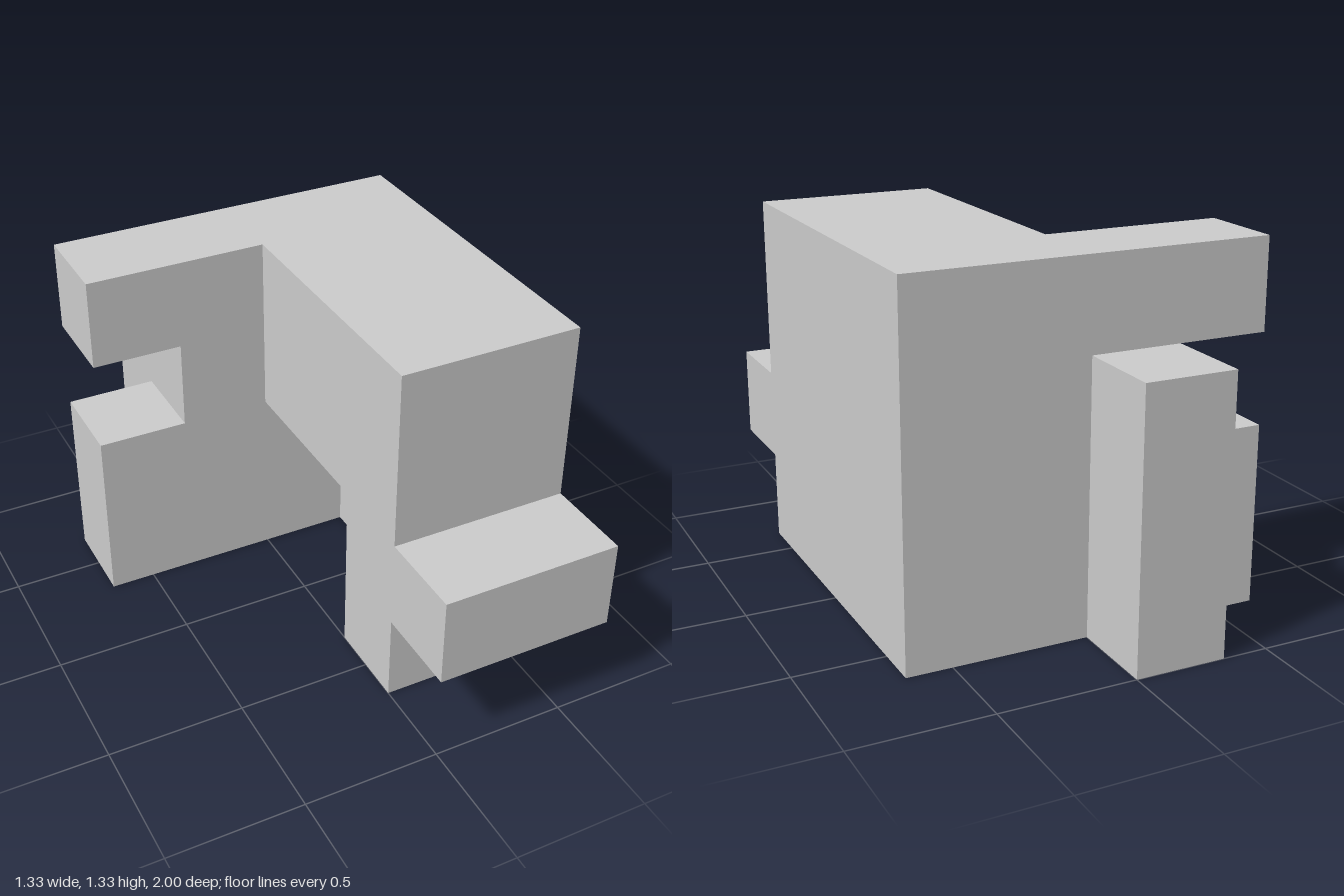
import * as THREE from 'three';
import { mergeGeometries, mergeVertices } from 'three/addons/utils/BufferGeometryUtils.js';

// The block is laid out on a grid of cubes; each part spans [from, to) in cells.
const CELL = 1 / 3;
const PARTS = {
  sideWall: [[3, 0, 1], [4, 4, 5]],
  topBeam: [[2, 2, 1], [3, 4, 5]],
  frontLeg: [[2, 0, 4], [3, 2, 5]],
  backWall: [[1, 0, 1], [3, 2, 2], [1, 2, 1], [2, 4, 2]],
  cornerWall: [[3, 0, 1], [4, 4, 1]],
  topArm: [[0, 3, 1], [1, 4, 2]],
  sidePost: [[0, 0, 1], [1, 2, 2]],
  backPost: [[1, 0, 0], [2, 3, 1]],
  frontLedge: [[2, 1, 5], [4, 2, 6]],
};

// Outward directions with the rotation that turns a +z plane to face them
const SIDES = [
  [[1, 0, 0], [0, Math.PI / 2]], [[-1, 0, 0], [0, -Math.PI / 2]],
  [[0, 1, 0], [-Math.PI / 2, 0]], [[0, -1, 0], [Math.PI / 2, 0]],
  [[0, 0, 1], [0, 0]], [[0, 0, -1], [0, Math.PI]],
];

// List the cells of a part, given as pairs of corners
function cellsOf(corners) {
  const cells = [];
  for (let i = 0; i < corners.length; i += 2) {
    const [a, b] = [corners[i], corners[i + 1]];
    for (let x = a[0]; x < b[0]; x++)
      for (let y = a[1]; y < b[1]; y++)
        for (let z = a[2]; z < b[2]; z++) cells.push([x, y, z]);
  }
  return cells;
}

export function createModel() {
  const group = new THREE.Group();
  group.name = 'interlockingBlock';
  const material = new THREE.MeshStandardMaterial({ color: 0xcccccc, flatShading: true });
  const filled = new Set(Object.values(PARTS).flatMap(cellsOf).map(String));

  for (const [name, corners] of Object.entries(PARTS)) {
    const faces = [];
    // Only exposed faces are made, so joints between parts stay open inside
    for (const cell of cellsOf(corners)) {
      for (const [dir, [rx, ry]] of SIDES) {
        if (filled.has(String(cell.map((c, i) => c + dir[i])))) continue;
        const face = new THREE.PlaneGeometry(CELL, CELL).rotateX(rx).rotateY(ry);
        face.translate(...cell.map((c, i) => (c + 0.5 + dir[i] / 2 - [2, 0, 3][i]) * CELL));
        face.deleteAttribute('uv');
        faces.push(face);
      }
    }
    if (!faces.length) continue;
    const mesh = new THREE.Mesh(mergeVertices(mergeGeometries(faces)), material);
    mesh.name = name;
    group.add(mesh);
  }
  return group;
}
